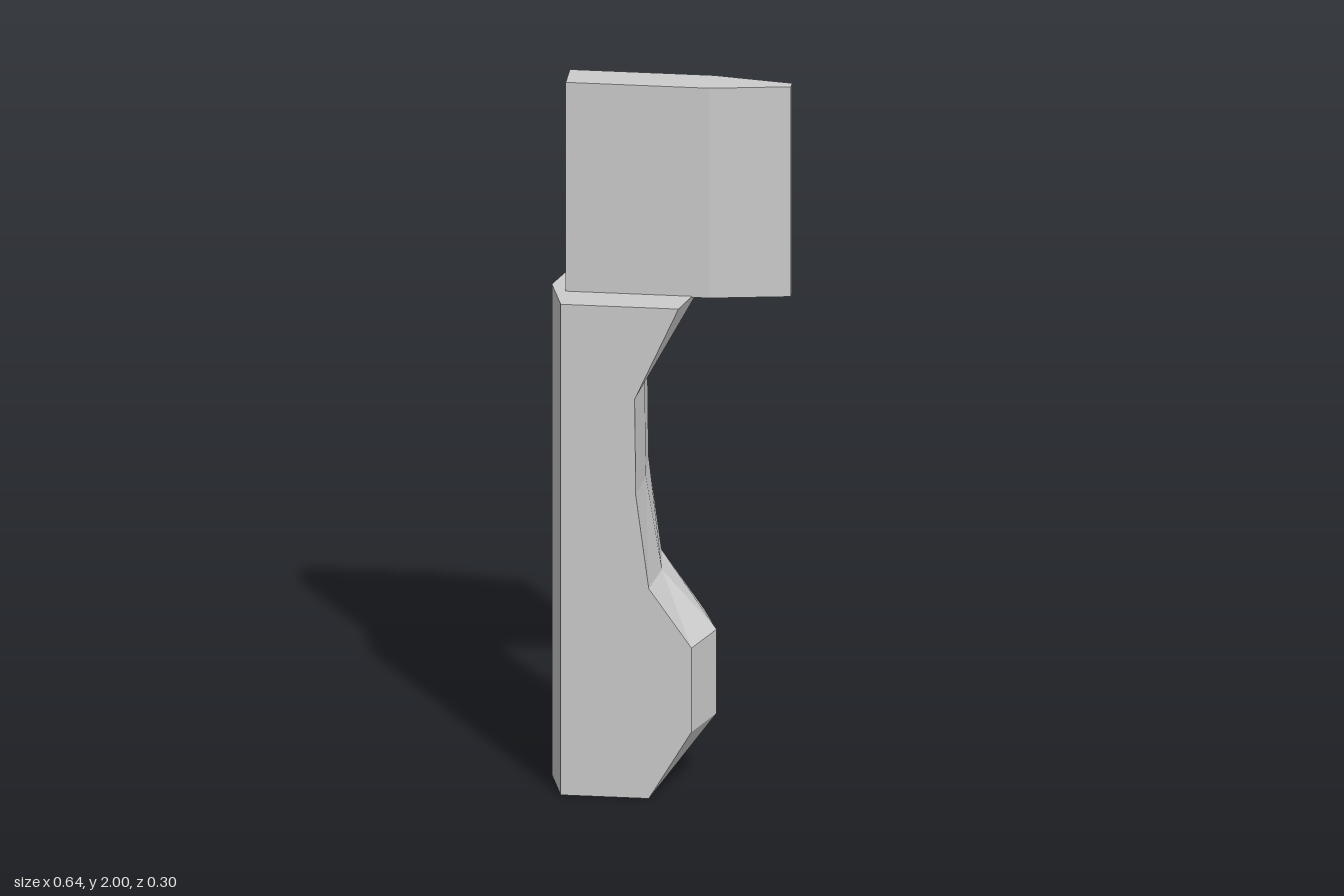
import * as THREE from 'three';

// Hexagonal handle sections: [height, front side edge x, front ridge x]
const SECTIONS = [
  [0, -0.045, -0.03],
  [0.195, 0.07, 0.12],
  [0.435, 0.07, 0.12],
  [0.6, -0.045, -0.027],
  [0.865, -0.08, -0.07],
  [1.14, -0.083, -0.073],
  [1.403, 0.035, 0.072],
];

function ring([y, side, ridge]) {
  return [[-0.323, 0], [-0.282, 0.149], [side, 0.149], [ridge, 0], [side, -0.149], [-0.282, -0.149]]
    .map(([x, z]) => [x, y, z]);
}

// Loft the sections and close both ends
function handleGeometry() {
  const rings = SECTIONS.map(ring);
  const positions = [];
  const tri = (a, b, c) => positions.push(...a, ...b, ...c);
  for (let i = 0; i < rings.length - 1; i++) {
    for (let j = 0; j < 6; j++) {
      const k = (j + 1) % 6;
      const a = rings[i][j], b = rings[i][k], c = rings[i + 1][k], d = rings[i + 1][j];
      tri(a, b, c);
      tri(a, c, d);
    }
  }
  const bottom = rings[0], top = rings[rings.length - 1];
  for (let j = 1; j < 5; j++) {
    tri(top[0], top[j], top[j + 1]);
    tri(bottom[0], bottom[j + 1], bottom[j]);
  }
  const geometry = new THREE.BufferGeometry();
  geometry.setAttribute('position', new THREE.Float32BufferAttribute(positions, 3));
  geometry.computeVertexNormals();
  return geometry;
}

// Blade plan tapering to a narrow edge, extruded upward
function bladeGeometry() {
  const outline = [[-0.28, -0.049], [0.107, -0.049], [0.322, -0.013], [0.322, 0.014], [0.107, 0.049], [-0.28, 0.049]];
  const shape = new THREE.Shape(outline.map(([x, y]) => new THREE.Vector2(x, y)));
  const geometry = new THREE.ExtrudeGeometry(shape, { depth: 0.6, bevelEnabled: false });
  geometry.rotateX(-Math.PI / 2);
  geometry.translate(0, 1.4, 0);
  return geometry;
}

export function createModel() {
  const grey = new THREE.MeshStandardMaterial({ color: 0xcccccc, flatShading: true });
  grey.name = 'light grey';
  const group = new THREE.Group();
  group.name = 'cleaver';

  const handle = new THREE.Mesh(handleGeometry(), grey);
  handle.name = 'handle';
  const blade = new THREE.Mesh(bladeGeometry(), grey);
  blade.name = 'blade';
  group.add(handle, blade);
  return group;
}
